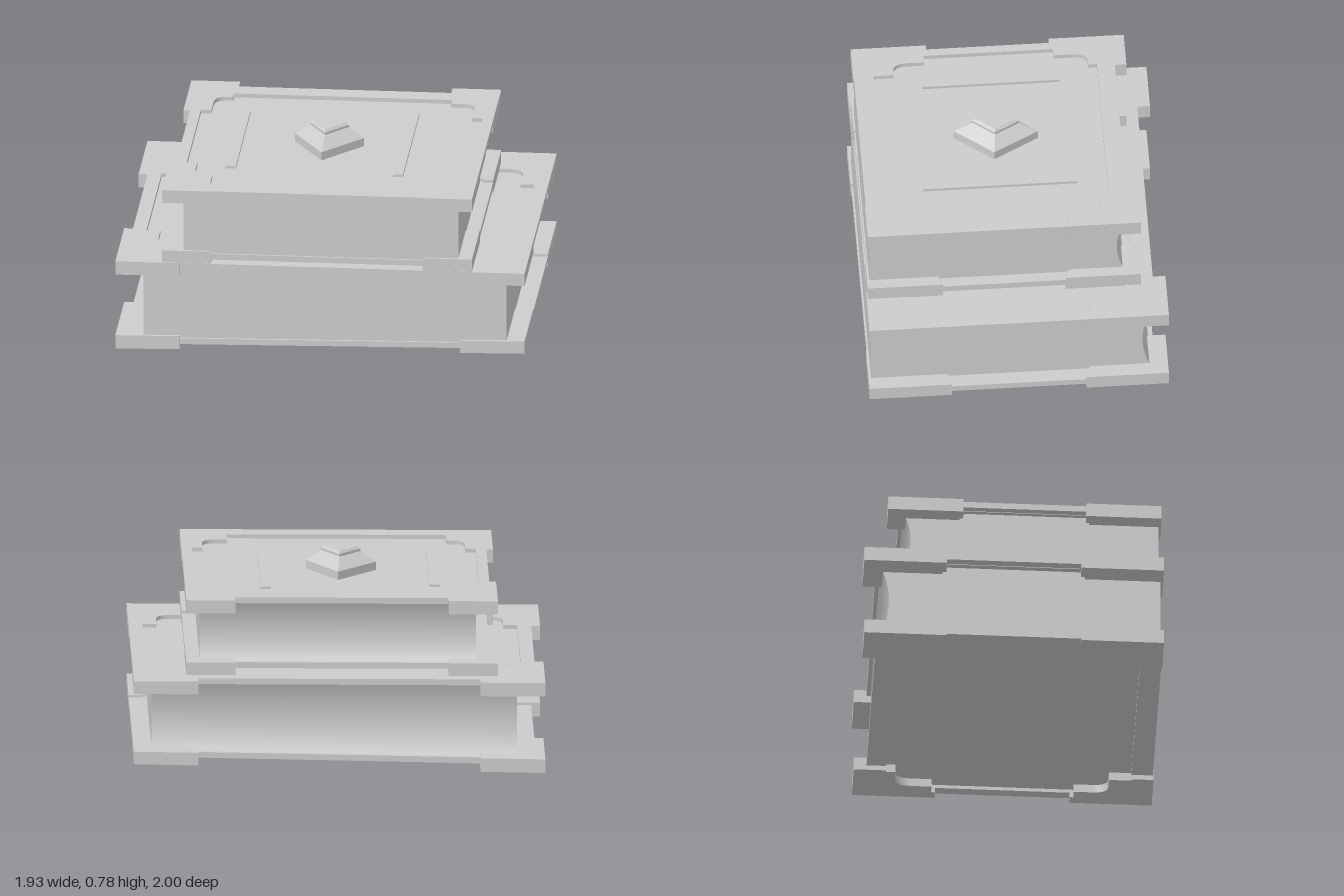
import * as THREE from 'three';
import { toCreasedNormals } from 'three/addons/utils/BufferGeometryUtils.js';

// Flat outline in x and z, extruded between two heights
function slab(shape, y0, y1) {
  const g = new THREE.ExtrudeGeometry(shape, { depth: y1 - y0, bevelEnabled: false, curveSegments: 5 });
  return g.rotateX(Math.PI / 2).translate(0, y1, 0);
}

function rect(x0, x1, z0, z1) {
  return new THREE.Shape([[x0, z0], [x1, z0], [x1, z1], [x0, z1]].map(([x, z]) => new THREE.Vector2(x, z)));
}

// Edges of the sunken panel: fore-edge, spine, front end, back end
const FORE = 0.463, SPINE = 0.503, FRONT = 0.755, BACK = 0.72;

// Ornate corner plate, mirrored by the signs a and b
function cornerShape(a, b) {
  const xm = a > 0 ? FORE : SPINE, xc = a > 0 ? 0.425 : 0.415;
  const zm = b > 0 ? FRONT : BACK, zc = zm - 0.055;
  const s = new THREE.Shape();
  s.moveTo(a * 0.59, b * 0.81);
  s.lineTo(a * 0.59, b * 0.555);
  s.lineTo(a * xm, b * 0.555);
  s.lineTo(a * xm, b * 0.57);
  s.lineTo(a * xc, b * 0.57);
  s.lineTo(a * xc, b * (zc - 0.06));
  s.quadraticCurveTo(a * xc, b * zc, a * (xc - 0.06), b * zc);
  s.lineTo(a * 0.28, b * zc);
  s.lineTo(a * 0.28, b * zm);
  s.lineTo(a * 0.265, b * zm);
  s.lineTo(a * 0.265, b * 0.81);
  s.closePath();
  return s;
}

// bottom and top give the tilted outer planes: height, slope along x, slope along z
function makeBook(name, material, { sx, sz, height: H, bottom, top, ornament }) {
  const book = new THREE.Group();
  book.name = name;
  const plane = (p, x, z) => p[0] + p[1] * x + p[2] * z;

  const add = (partName, geo, kx = sx, kz = sz) => {
    const p = geo.attributes.position;
    for (let i = 0; i < p.count; i++) {
      const x = p.getX(i) * kx, z = p.getZ(i) * kz;
      const y0 = plane(bottom, x, z), y1 = plane(top, x, z);
      p.setXYZ(i, x, y0 + (p.getY(i) / H) * (y1 - y0), z);
    }
    const mesh = new THREE.Mesh(toCreasedNormals(geo, 0.5), material);
    mesh.name = partName;
    book.add(mesh);
  };

  // Page block with a flat spine and a hollow fore-edge
  const profile = new THREE.Shape();
  profile.moveTo(-0.58, 0.036);
  profile.lineTo(0.525, 0.036);
  profile.quadraticCurveTo(0.455, H / 2, 0.525, H - 0.024);
  profile.lineTo(-0.58, H - 0.024);
  profile.closePath();
  add('pageBlock', new THREE.ExtrudeGeometry(profile, { depth: 1.438, bevelEnabled: false, curveSegments: 12 })
    .translate(0, 0, -0.7));

  // Covers: four thick corner plates, thin edge strips and a sunken panel
  const strips = [
    [FORE, 0.54, -0.555, 0.555], [-0.587, -SPINE, -0.555, 0.555],
    [-0.265, 0.265, FRONT, 0.81], [-0.265, 0.265, -0.775, -BACK],
  ];
  for (const [side, rim, panel] of [['bottom', 0.02, 0.034], ['top', 0, 0.016]]) {
    const layer = (shape, d0, d1) => side === 'top' ? slab(shape, H - d1, H - d0) : slab(shape, d0, d1);
    for (const s of strips) add(side + 'EdgeStrip', layer(rect(...s), rim, rim + 0.024));
    add(side + 'CoverPanel', layer(rect(-SPINE - 0.01, FORE + 0.01, -BACK - 0.01, FRONT + 0.01), panel, panel + 0.01));
    for (const a of [-1, 1]) for (const b of [-1, 1]) {
      add(side + 'CornerPlate', layer(cornerShape(a, b), 0, 0.054));
    }
  }

  if (ornament) {
    // Raised bars across the front cover
    for (const [z, length] of [[-0.37, 0.54], [0.295, 0.61]]) {
      add('coverBar', new THREE.BoxGeometry(length, 0.03, 0.04).translate(0, H - 0.02, z), 1, 1);
    }
    // Faceted stone in the middle
    const stone = [[0, -0.03], [1, -0.03], [1, 0.018], [0.56, 0.06], [0.56, 0.07], [0.48, 0.08], [0, 0.08]]
      .map(([r, y]) => new THREE.Vector2(r, H + y));
    add('coverStone', new THREE.LatheGeometry(stone, 4).scale(0.166, 1, 0.138)
      .rotateY(-0.09).translate(0, 0, -0.008), 1, 1);
  }
  return book;
}

export function createModel() {
  const model = new THREE.Group();
  model.name = 'bookStack';
  const grey = new THREE.MeshStandardMaterial({ color: 0xcccccc });
  grey.name = 'stoneGrey';

  const lower = makeBook('lowerBook', grey, {
    sx: 1, sz: 1, height: 0.356,
    bottom: [0.039, 0.0255, 0.03], top: [0.394, 0.0255, 0.011],
  });
  const upper = makeBook('upperBook', grey, {
    sx: 0.912, sz: 0.757, height: 0.31,
    bottom: [0.39, 0.0255, 0.011], top: [0.7, 0.0255, 0.011], ornament: true,
  });
  lower.rotation.y = upper.rotation.y = 0.667;
  upper.position.set(-0.045, 0, 0.02);
  model.add(lower, upper);
  return model;
}
